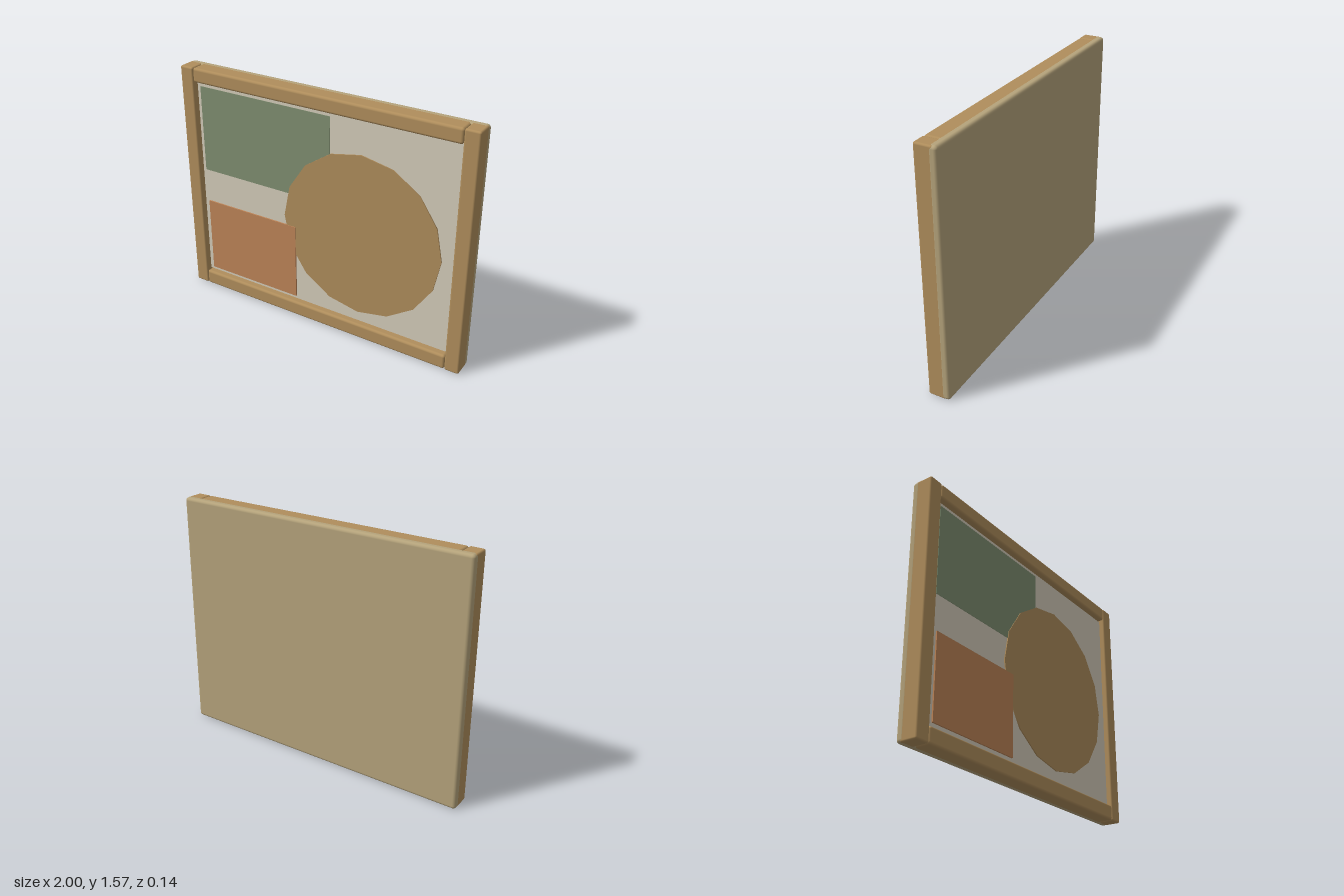
import * as THREE from 'three';
import { RoundedBoxGeometry } from 'three/addons/geometries/RoundedBoxGeometry.js';

const H = 1.57; // overall height

function material(name, color) {
  const m = new THREE.MeshStandardMaterial({ color });
  m.name = name;
  return m;
}

export function createModel() {
  const group = new THREE.Group();
  group.name = 'framedPicture';
  const wood = material('frame wood', 0xb08e5c);
  const backing = material('backing board', 0xb5a37b);
  const cream = material('cream canvas', 0xd3cbb9);
  const green = material('sage green', 0x7f8e70);
  const ochre = material('ochre', 0xae8c5b);
  const rust = material('rust', 0xbd8457);

  function add(name, geometry, mat, x, y, z) {
    const mesh = new THREE.Mesh(geometry, mat);
    mesh.name = name;
    mesh.position.set(x, y, z);
    group.add(mesh);
    return mesh;
  }
  // Box given by its limits, with optional rounded edges
  function block(name, mat, [x0, x1], [y0, y1], [z0, z1], radius = 0) {
    const size = [x1 - x0, y1 - y0, z1 - z0];
    const geometry = radius
      ? new RoundedBoxGeometry(...size, 3, radius)
      : new THREE.BoxGeometry(...size);
    return add(name, geometry, mat, (x0 + x1) / 2, (y0 + y1) / 2, (z0 + z1) / 2);
  }

  // Backing board behind the whole frame
  block('backBoard', backing, [-1, 1], [0, H], [-0.07, -0.015], 0.02);

  // Frame: two full-height stiles with two rails between them
  const depth = [-0.045, 0.07];
  block('leftStile', wood, [0.905, 0.999], [0.001, H - 0.001], depth, 0.012);
  block('rightStile', wood, [-0.999, -0.905], [0.001, H - 0.001], depth, 0.012);
  block('topRail', wood, [-0.904, 0.904], [H - 0.095, H - 0.001], depth, 0.016);
  block('bottomRail', wood, [-0.904, 0.904], [0.001, 0.1], depth, 0.016);

  // Recessed canvas
  block('canvas', cream, [-0.897, 0.897], [0.11, 1.467], [-0.03, 0.036]);

  // Painted shapes, layered from back to front
  block('greenRectangle', green, [-0.875, 0.073], [0.875, 1.447], [0.034, 0.039]);
  const disc = new THREE.CylinderGeometry(0.54, 0.54, 0.008, 16).rotateX(Math.PI / 2);
  add('ochreDisc', disc, ochre, 0.285, 0.717, 0.039);
  block('rustRectangle', rust, [-0.862, -0.175], [0.133, 0.65], [0.038, 0.047]);

  return group;
}
